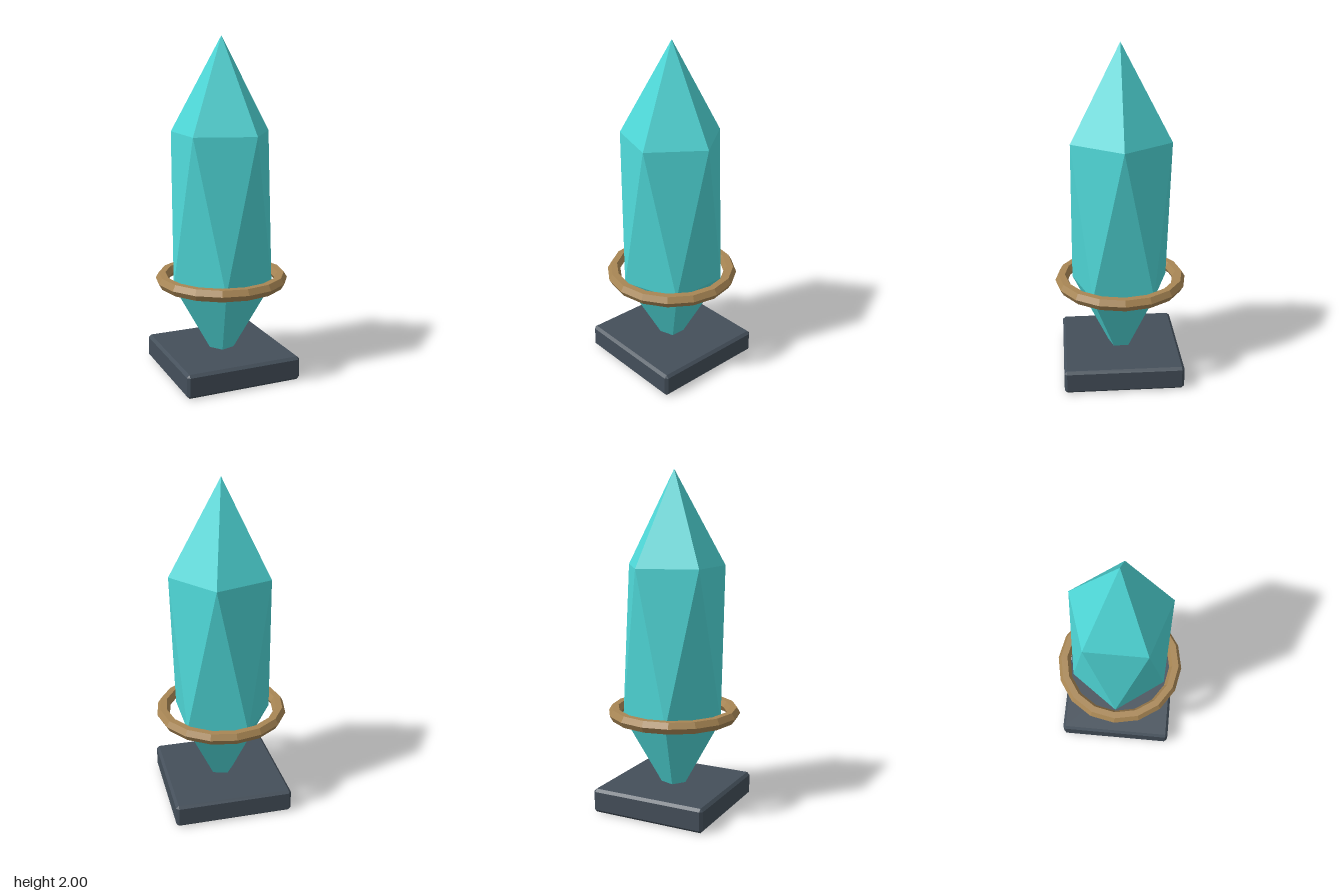
import * as THREE from 'three';
import { ConvexGeometry } from 'three/addons/geometries/ConvexGeometry.js';

function part(name, geometry, color) {
  const mesh = new THREE.Mesh(geometry, new THREE.MeshStandardMaterial({ color, flatShading: true }));
  mesh.name = name;
  return mesh;
}

// Box with every edge cut at 45 degrees, centred on the origin
function chamferedBox(w, h, d, c) {
  const points = [];
  for (const x of [-w / 2, w / 2])
    for (const y of [-h / 2, h / 2])
      for (const z of [-d / 2, d / 2]) {
        const ix = x - Math.sign(x) * c, iy = y - Math.sign(y) * c, iz = z - Math.sign(z) * c;
        points.push(new THREE.Vector3(x, iy, iz), new THREE.Vector3(ix, y, iz), new THREE.Vector3(ix, iy, z));
      }
  return new ConvexGeometry(points);
}

// Two tips and two staggered five-point rings
function crystalGeometry(radius, bottom, lower, upper, top) {
  const points = [new THREE.Vector3(0, bottom, 0), new THREE.Vector3(0, top, 0)];
  for (let i = 0; i < 10; i++) {
    const a = (i * Math.PI) / 5;
    points.push(new THREE.Vector3(radius * Math.cos(a), i % 2 ? lower : upper, radius * Math.sin(a)));
  }
  return new ConvexGeometry(points);
}

export function createModel() {
  const model = new THREE.Group();
  model.name = 'crystalOnPlinth';

  // Square plinth
  const base = part('base', chamferedBox(0.712, 0.143, 0.712, 0.016), 0x444f5a);
  base.position.y = 0.0715;

  // Tall crystal standing on its lower tip
  const crystal = part('crystal', crystalGeometry(0.305, 0.005, 0.555, 1.449, 2), 0x4fd8d8);

  // Faceted band floating around the crystal
  const ring = part('ring', new THREE.TorusGeometry(0.356, 0.039, 6, 16), 0xa88654);
  ring.rotation.x = Math.PI / 2;
  ring.position.y = 0.577;

  model.add(base, crystal, ring);
  return model;
}
